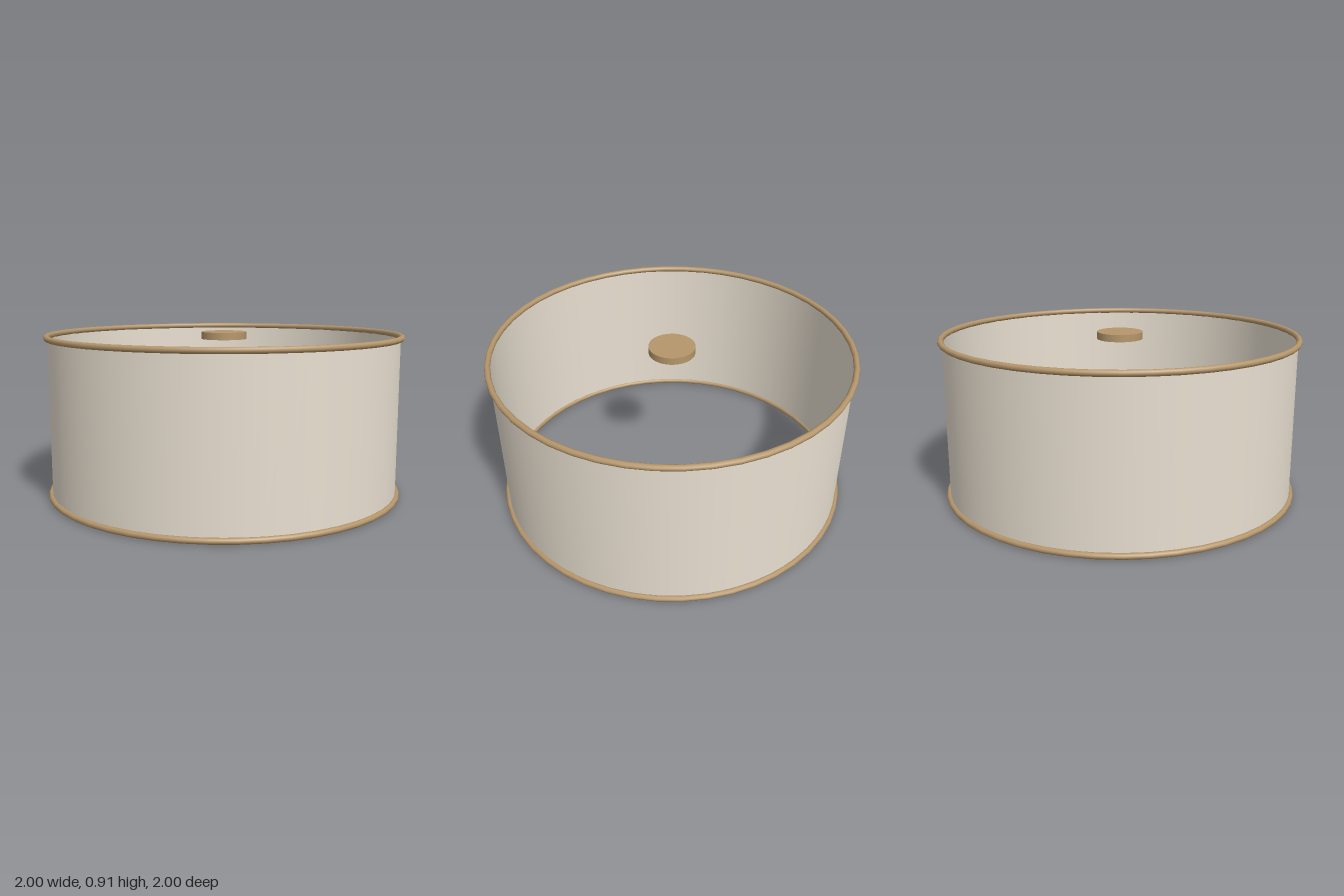
import * as THREE from 'three';

export function createModel() {
  const group = new THREE.Group();
  group.name = 'drumShade';

  const fabric = new THREE.MeshStandardMaterial({ color: 0xe8dfd0, side: THREE.DoubleSide });
  const brass = new THREE.MeshStandardMaterial({ color: 0xb5966b });

  const tube = 0.016;
  const bottomY = tube;
  const topY = 0.888;

  const add = (name, geometry, material, y) => {
    const mesh = new THREE.Mesh(geometry, material);
    mesh.name = name;
    mesh.position.y = y;
    group.add(mesh);
  };

  // Open fabric wall between the two rims
  const height = topY - bottomY;
  add('shadeWall', new THREE.CylinderGeometry(0.978, 0.978, height, 64, 1, true), fabric, bottomY + height / 2);

  // Rolled rims
  for (const [name, y] of [['bottomRim', bottomY], ['topRim', topY]]) {
    const rim = new THREE.TorusGeometry(1 - tube, tube, 10, 48).rotateX(Math.PI / 2);
    add(name, rim, brass, y);
  }

  // Flat disc in the middle of the top opening
  add('centreDisc', new THREE.CylinderGeometry(0.128, 0.128, 0.04, 32), brass, 0.888);

  return group;
}
